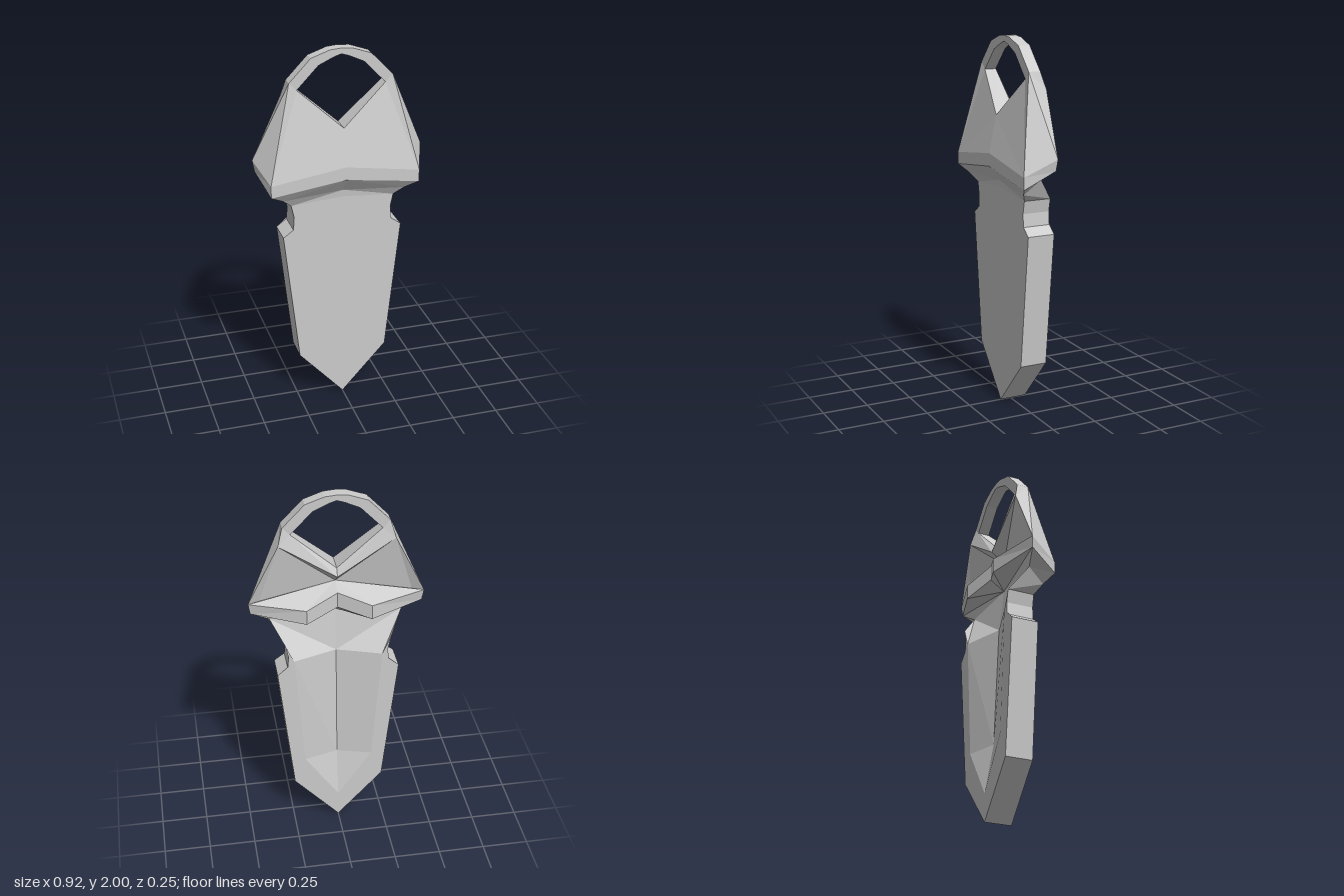
import * as THREE from 'three';

const material = new THREE.MeshStandardMaterial({ color: 0xcccccc, flatShading: true });

// Polygons of the +x half are fanned into triangles and mirrored to -x.
function mirroredMesh(name, polygons) {
  const pos = [];
  for (const poly of polygons) {
    for (let i = 1; i < poly.length - 1; i++) {
      const [a, b, c] = [poly[0], poly[i], poly[i + 1]];
      pos.push(...a, ...b, ...c);
      for (const p of [a, c, b]) pos.push(-p[0], p[1], p[2]);
    }
  }
  const geo = new THREE.BufferGeometry();
  geo.setAttribute('position', new THREE.Float32BufferAttribute(pos, 3));
  geo.computeVertexNormals();
  const mesh = new THREE.Mesh(geo, material);
  mesh.name = name;
  return mesh;
}

// Quads between two rows of points.
const strip = (a, b) => a.slice(1).map((p, i) => [a[i], p, b[i + 1], b[i]]);
const atZ = (row, z) => row.map(([x, y]) => [x, y, z]);

export function createModel() {
  const group = new THREE.Group();
  group.name = 'pointedBlade';

  // Points shared by the neck and the head
  const neckFront = [0.33, 1.225, 0.09], neckFrontMid = [0, 1.24, 0.065];
  const neckBack = [0.35, 1.3, 0], neckBackMid = [0, 1.32, 0.02];

  // Blade: outline with notches below the head
  const outline = [[0, 0], [0.245, 0.27], [0.325, 1], [0.27, 1.04], [0.265, 1.11], [0.28, 1.18]];
  const front = [...atZ(outline, 0.06), neckFront];
  const back = [...atZ(outline, -0.09), neckBack];
  const axis = [...outline.map(([, y]) => [0, y === 1.18 ? 1.2 : y, 0.06]), neckFrontMid];

  // Tapering groove down the back of the blade
  const rim = atZ([[0, 0.15], [0.185, 0.42], [0.235, 1.08]], -0.09);
  const floor = [[0, 0.15, -0.09], [0, 0.42, -0.04], [0, 1.08, -0.01]];
  const rimTop = rim[2];
  group.add(mirroredMesh('blade', [
    ...strip(front, axis),
    ...strip(back, front),
    ...strip([...rim, rimTop, rimTop], back.slice(0, 5)),
  ]));
  group.add(mirroredMesh('bladeGroove', [
    ...strip(floor, rim),
    [floor[2], neckBackMid, neckBack, rimTop],
    [rimTop, neckBack, back[5], back[4]],
  ]));

  // Ring at the top, with a V-shaped lower edge to its opening
  const outer = [[0, 2], [0.06, 1.995], [0.16, 1.96], [0.275, 1.84]];
  const inner = [[0, 1.97], [0.04, 1.957], [0.12, 1.92], [0.235, 1.8]];
  const outerF = atZ(outer, 0.035), outerB = atZ(outer, -0.03);
  const innerF = atZ(inner, 0.035), innerB = atZ(inner, -0.03);
  const vFront = [0, 1.59, 0.083], vBack = [0, 1.59, -0.03];
  group.add(mirroredMesh('topRing', [
    ...strip(innerF, outerF),
    ...strip(outerB, innerB),
    ...strip(outerF, outerB),
    ...strip([...innerB, vBack], [...innerF, vFront]),
  ]));

  // Flared head: front plate, lower band, sides and undercut
  const ringF = outerF[3], ringB = outerB[3], holeF = innerF[3], holeB = innerB[3];
  const bandTopMid = [0, 1.39, 0.125], bandTop = [0.4, 1.33, 0.125];
  const bandLowMid = [0, 1.32, 0.125], bandLow = [0.4, 1.265, 0.125];
  const shoulder = [0.3, 1.75, -0.053];
  const wingTop = [0.46, 1.42, -0.035], wingLow = [0.45, 1.36, -0.03];
  group.add(mirroredMesh('head', [
    [vFront, bandTopMid, bandTop, holeF],
    [holeF, bandTop, ringF],
    [bandTopMid, bandLowMid, bandLow, bandTop],
    [ringF, bandTop, wingTop, shoulder],
    [ringF, shoulder, ringB],
    [bandTop, bandLow, wingLow, wingTop],
    [bandLowMid, neckFrontMid, neckFront, bandLow],
    [bandLow, neckFront, neckBack, wingLow],
  ]));

  // Hollow back of the head
  const ridge = [0, 1.55, -0.055];
  const pocketMid = [0, 1.49, 0.02], pocketSide = [0.4, 1.42, -0.01];
  group.add(mirroredMesh('headBack', [
    [ringB, shoulder, holeB],
    [holeB, shoulder, ridge, vBack],
    [shoulder, pocketSide, pocketMid, ridge],
    [shoulder, wingTop, pocketSide],
  ]));

  // Zigzag ledge across the back
  const ledgeTop = [[0, 1.46, -0.06], [0.17, 1.405, -0.125], wingTop];
  const ledgeLow = [[0, 1.375, -0.06], [0.17, 1.325, -0.125], wingLow];
  group.add(mirroredMesh('backLedge', [
    ...strip(ledgeTop, ledgeLow),
    [pocketMid, pocketSide, wingTop, ledgeTop[1], ledgeTop[0]],
    [neckBackMid, ledgeLow[0], ledgeLow[1], wingLow, neckBack],
  ]));

  return group;
}
